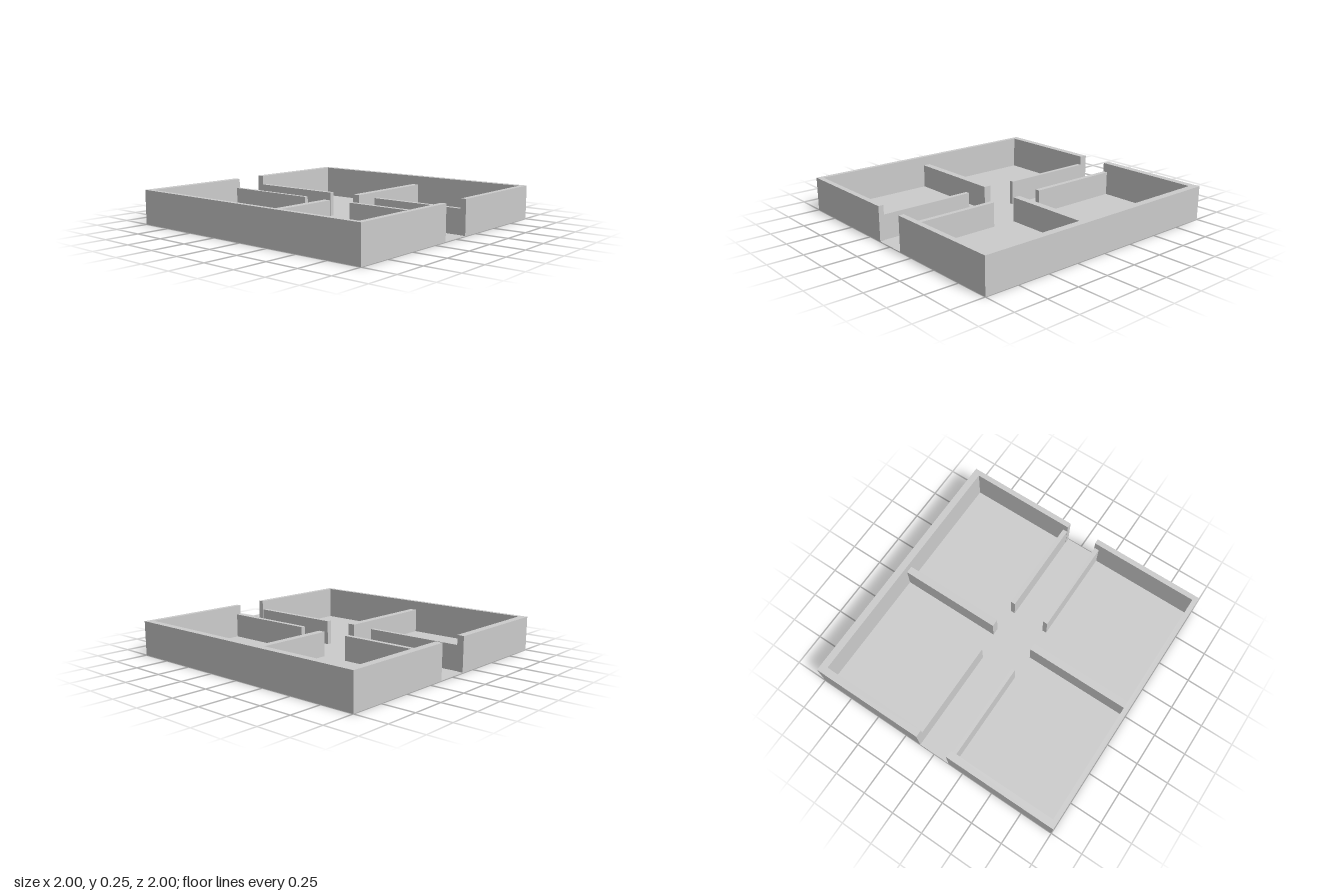
import * as THREE from 'three';

const OUTER_TOP = 0.255;
const INNER_TOP = 0.185;
const FLOOR = 0.003;

export function createModel() {
  const group = new THREE.Group();
  const material = new THREE.MeshStandardMaterial({ color: 0xcccccc, flatShading: true });

  const add = (name, geometry) => {
    const mesh = new THREE.Mesh(geometry, material);
    mesh.name = name;
    group.add(mesh);
  };

  // Box given by its plan limits, from y0 up to y1
  const block = (name, x0, x1, z0, z1, y0, y1) => {
    const geometry = new THREE.BoxGeometry(x1 - x0, y1 - y0, z1 - z0);
    geometry.translate((x0 + x1) / 2, (y0 + y1) / 2, (z0 + z1) / 2);
    add(name, geometry);
  };

  // Plan outline in (x, z), raised to the outer wall height
  const raise = (name, outline) => {
    const shape = new THREE.Shape(outline.map(([x, z]) => new THREE.Vector2(x, -z)));
    const geometry = new THREE.ExtrudeGeometry(shape, { depth: OUTER_TOP - FLOOR, bevelEnabled: false });
    geometry.rotateX(-Math.PI / 2).translate(0, FLOOR, 0);
    add(name, geometry);
  };

  // Thin floor slab
  block('floor', -1, 1, -1, 1, 0, FLOOR);

  // U-shaped outer walls, open to the corridor on both sides
  raise('backOuterWall', [
    [-1, -1], [-1, -0.123], [-0.945, -0.123], [-0.945, -0.947],
    [0.96, -0.947], [0.96, -0.12], [1, -0.12], [1, -1],
  ]);
  raise('frontOuterWall', [
    [-1, 1], [1, 1], [1, 0.123], [0.96, 0.125], [0.96, 0.965],
    [-0.945, 0.965], [-0.945, 0.135], [-1, 0.127],
  ]);

  // Lower walls along the corridor, with doorways in the middle
  const corridorWalls = [
    ['backRightCorridorWall', -0.945, -0.2, -0.16, -0.123],
    ['backLeftCorridorWall', 0.23, 0.96, -0.157, -0.122],
    ['frontRightCorridorWall', -0.945, -0.2, 0.135, 0.165],
    ['frontLeftCorridorWall', 0.23, 0.96, 0.13, 0.165],
  ];
  for (const [name, ...plan] of corridorWalls) block(name, ...plan, FLOOR, INNER_TOP);

  // Lower walls dividing the rooms
  block('backRoomDivider', -0.005, 0.05, -0.947, -0.16, FLOOR, INNER_TOP);
  block('frontRoomDivider', -0.005, 0.05, 0.17, 0.965, FLOOR, INNER_TOP);

  return group;
}
